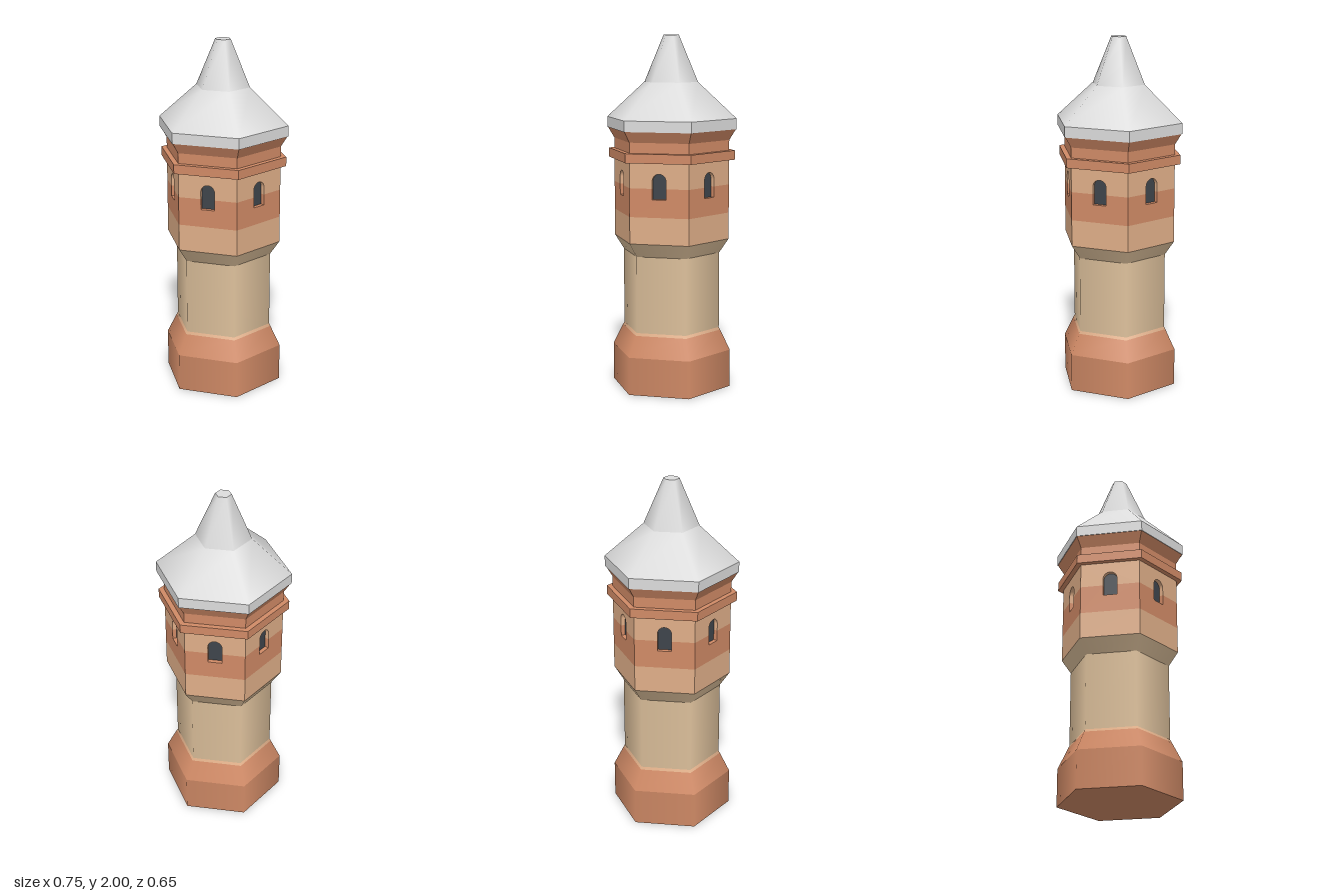
import * as THREE from 'three';

const mat = (name, color) => new THREE.MeshStandardMaterial({ name, color });

export function createModel() {
  const brick = mat('terracotta brick', 0xd08a66);
  const plaster = mat('peach plaster', 0xdfae88);
  const stone = mat('tan stone', 0xdec19c);
  const roofGrey = mat('pale grey roof', 0xdcdcdc);
  const glass = mat('dark window', 0x3e444b);

  const tower = new THREE.Group();
  tower.name = 'tower';

  // Hexagonal section between two heights, with corners on the x axis
  function section(name, material, y0, r0, y1, r1, { flat = false, caps = false } = {}) {
    let geo = new THREE.CylinderGeometry(r1, r0, y1 - y0, 6, 1, !caps);
    geo.rotateY(Math.PI / 6);
    geo.translate(0, (y0 + y1) / 2, 0);
    if (flat) {
      geo = geo.toNonIndexed();
      geo.computeVertexNormals();
    }
    const mesh = new THREE.Mesh(geo, material);
    mesh.name = name;
    tower.add(mesh);
  }

  // Horizontal hexagonal lid, facing up or down
  function lid(name, material, y, r, up) {
    const geo = new THREE.CircleGeometry(r, 6);
    geo.rotateX(up ? -Math.PI / 2 : Math.PI / 2);
    const mesh = new THREE.Mesh(geo, material);
    mesh.position.y = y;
    mesh.name = name;
    tower.add(mesh);
  }

  // Base and shaft
  lid('baseUnderside', brick, 0, 0.345, false);
  section('base', brick, 0, 0.345, 0.215, 0.345);
  section('baseSlope', brick, 0.215, 0.345, 0.33, 0.288);
  section('baseTrim', plaster, 0.33, 0.288, 0.345, 0.28);
  section('shaft', stone, 0.345, 0.28, 0.78, 0.28);
  section('corbel', stone, 0.78, 0.28, 0.86, 0.333);

  // Upper room: six walls in three bands, with an arched window cut in each
  const R = 0.333, apothem = R * Math.cos(Math.PI / 6), half = R / 2;
  const depth = 0.025, w = 0.039, sill = 1.11, spring = 1.212, split = 1.17;

  const lower = new THREE.Shape([[-half, 0.86], [half, 0.86], [half, 1.01], [-half, 1.01]]
    .map(p => new THREE.Vector2(...p)));
  const middle = new THREE.Shape([[-half, 1.01], [half, 1.01], [half, split], [w, split],
    [w, sill], [-w, sill], [-w, split], [-half, split]].map(p => new THREE.Vector2(...p)));
  const upper = new THREE.Shape();
  upper.moveTo(-half, split);
  upper.lineTo(-w, split);
  upper.lineTo(-w, spring);
  upper.absarc(0, spring, w, Math.PI, 0, true);
  upper.lineTo(w, split);
  upper.lineTo(half, split);
  upper.lineTo(half, 1.31);
  upper.lineTo(-half, 1.31);
  const pane = new THREE.Shape();
  pane.moveTo(-w, sill);
  pane.lineTo(w, sill);
  pane.lineTo(w, spring);
  pane.absarc(0, spring, w, 0, Math.PI, false);

  const wall = shape => new THREE.ExtrudeGeometry(shape, { depth, bevelEnabled: false, curveSegments: 10 })
    .translate(0, 0, apothem - depth);
  const wallParts = [
    ['lowerWall', wall(lower), plaster],
    ['middleWall', wall(middle), brick],
    ['upperWall', wall(upper), plaster],
    ['windowPane', new THREE.ShapeGeometry(pane, 10).translate(0, 0, apothem - depth + 0.002), glass],
  ];
  for (let i = 0; i < 6; i++) {
    const side = new THREE.Group();
    side.name = 'wallSide' + (i + 1);
    side.rotation.y = i * Math.PI / 3;
    for (const [name, geo, material] of wallParts) {
      const mesh = new THREE.Mesh(geo, material);
      mesh.name = name;
      side.add(mesh);
    }
    tower.add(side);
  }

  // Cornice
  section('corniceRing', brick, 1.31, 0.365, 1.362, 0.365, { flat: true, caps: true });
  section('corniceNeck', brick, 1.362, R, 1.42, R, { flat: true });
  section('corniceFlare', brick, 1.42, R, 1.48, 0.37, { flat: true });

  // Roof
  lid('eavesUnderside', roofGrey, 1.48, 0.374, false);
  section('roofFascia', roofGrey, 1.48, 0.374, 1.54, 0.374, { flat: true });
  section('lowerRoof', roofGrey, 1.54, 0.374, 1.74, 0.154);
  section('spire', roofGrey, 1.74, 0.154, 2, 0.044);
  lid('spireTop', roofGrey, 2, 0.044, true);

  return tower;
}
